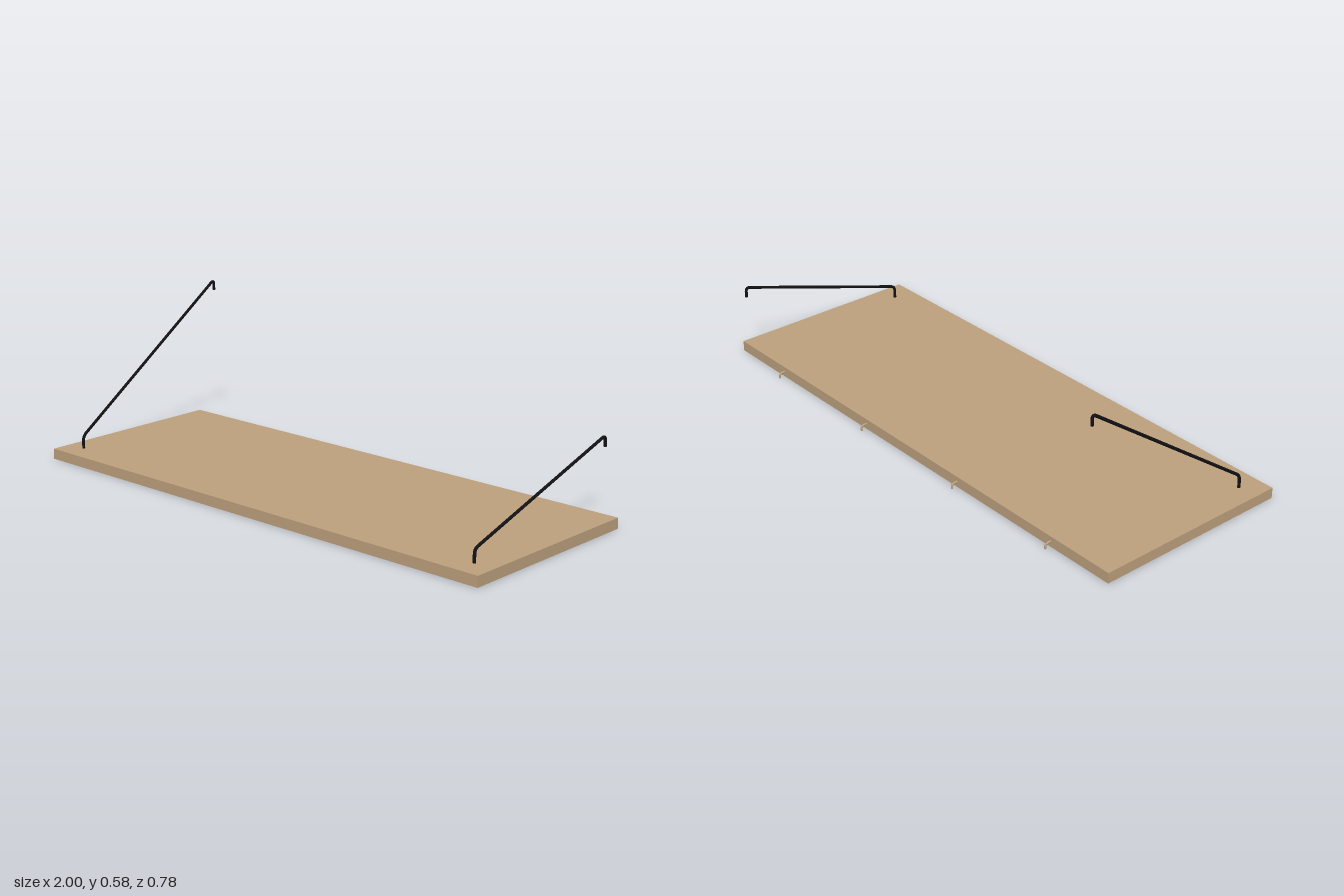
import * as THREE from 'three';

// Path in the plane x = const through [z, y] points, with rounded corners
function roundedPath(x, pts, round) {
  const p = pts.map(([z, y]) => new THREE.Vector3(x, y, z));
  const path = new THREE.CurvePath();
  let from = p[0];
  for (let i = 1; i < p.length - 1; i++) {
    const a = p[i].clone().add(p[i - 1].clone().sub(p[i]).setLength(round));
    const b = p[i].clone().add(p[i + 1].clone().sub(p[i]).setLength(round));
    path.add(new THREE.LineCurve3(from, a));
    path.add(new THREE.QuadraticBezierCurve3(a, p[i], b));
    from = b;
  }
  path.add(new THREE.LineCurve3(from, p[p.length - 1]));
  return path;
}

// Bent round bar with flat end caps
function bentBar(name, path, radius, segments, material) {
  const group = new THREE.Group();
  group.name = name;
  group.add(new THREE.Mesh(new THREE.TubeGeometry(path, segments, radius, 12), material));
  for (const [t, sign] of [[0, -1], [1, 1]]) {
    const cap = new THREE.Mesh(new THREE.CircleGeometry(radius, 12), material);
    cap.position.copy(path.getPointAt(t));
    cap.quaternion.setFromUnitVectors(
      new THREE.Vector3(0, 0, 1), path.getTangentAt(t).multiplyScalar(sign));
    group.add(cap);
  }
  group.children.forEach((m, i) => { m.name = name + (i ? 'Cap' : 'Bar'); });
  return group;
}

export function createModel() {
  const model = new THREE.Group();
  model.name = 'hangingShelf';
  const wood = new THREE.MeshStandardMaterial({ color: 0xbb9f7c });
  wood.name = 'tan wood';
  const black = new THREE.MeshStandardMaterial({ color: 0x111114 });
  black.name = 'black metal';

  // Shelf board
  const board = new THREE.Mesh(new THREE.BoxGeometry(2, 0.039, 0.75), wood);
  board.name = 'board';
  board.position.set(0, 0.0195, 0.014);
  model.add(board);

  // Support rods: foot under the board, upright, long slope, hooked end
  const rods = [
    ['rightRod', -0.925, [[-0.369, 0.577], [-0.378, 0.538]]],
    ['leftRod', 0.922, [[-0.383, 0.303], [-0.383, 0.264]]],
  ];
  rods[0][2][0] = [-0.378, 0.578];
  for (const [name, x, hook] of rods) {
    const path = roundedPath(x, [[0.265, 0.005], [0.307, 0.005], [0.307, 0.085], ...hook], 0.018);
    model.add(bentBar(name, path, 0.0055, 200, black));
  }

  // Small hooks along the back edge
  [-0.735, -0.27, 0.23, 0.73].forEach((x, i) => {
    const path = roundedPath(x, [[-0.35, 0.02], [-0.383, 0.02], [-0.383, 0.002]], 0.012);
    model.add(bentBar('backHook' + (i + 1), path, 0.004, 24, wood));
  });

  return model;
}
